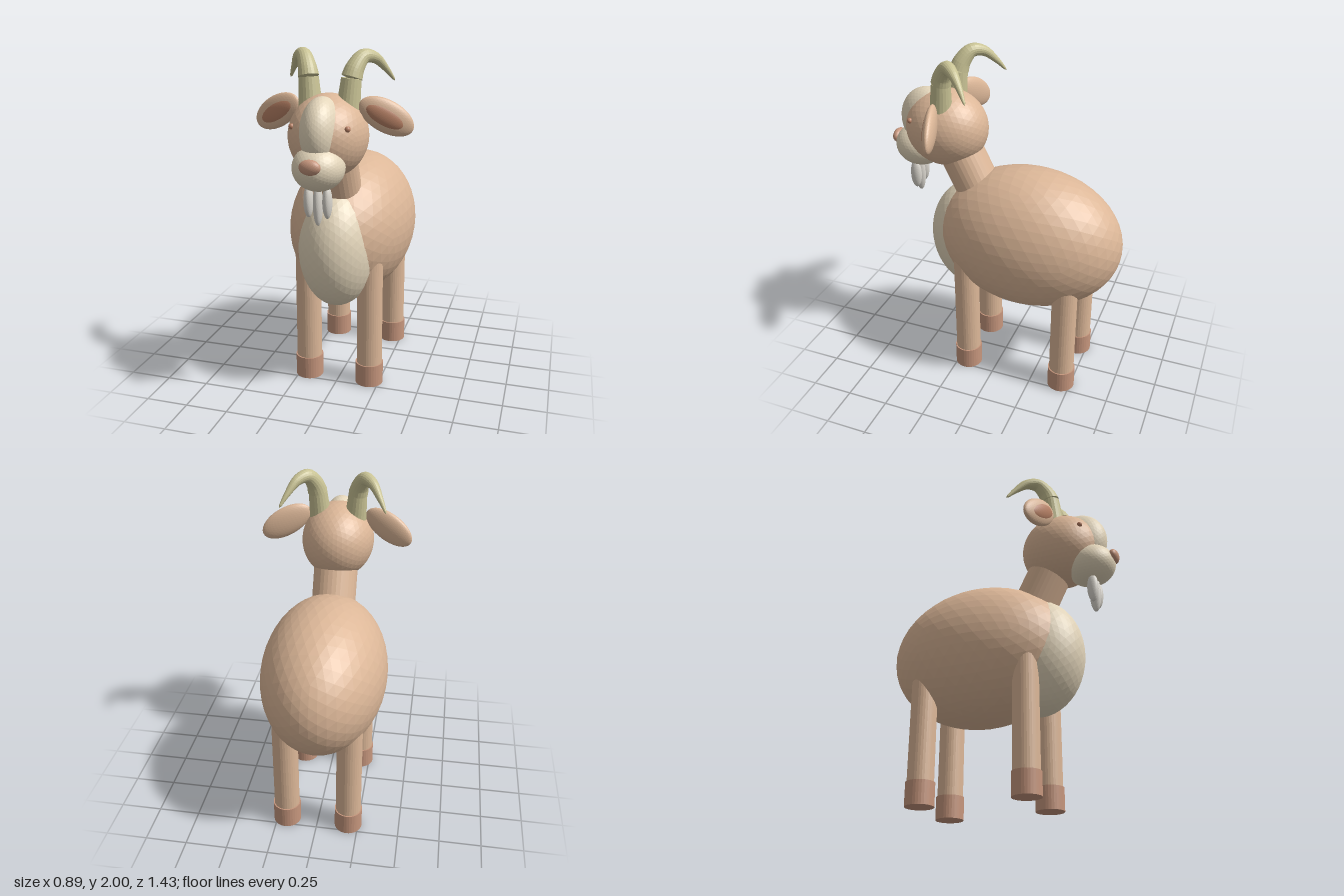
import * as THREE from 'three';

const paint = (color) => new THREE.MeshStandardMaterial({ color, flatShading: true });
const COAT = paint(0xdcb798), CREAM = paint(0xe4d6bb), HOOF = paint(0xc6967d), PINK = paint(0xb98266);
const HORN = paint(0xc8c294), HAIR = paint(0xd9d5cd);

const add = (parent, name, geometry, material) => {
  const mesh = new THREE.Mesh(geometry, material);
  mesh.name = name;
  parent.add(mesh);
  return mesh;
};

// Faceted ellipsoid with the given centre and radii
const ball = (parent, name, material, centre, radii, detail = 7) => {
  const mesh = add(parent, name, new THREE.IcosahedronGeometry(1, detail), material);
  mesh.position.set(...centre);
  mesh.scale.set(...radii);
  return mesh;
};

// Cylinder running from point a to point b
const rod = (parent, name, material, a, b, rA, rB, sides = 32) => {
  const from = new THREE.Vector3(...a), to = new THREE.Vector3(...b);
  const axis = to.clone().sub(from);
  const mesh = add(parent, name, new THREE.CylinderGeometry(rB, rA, axis.length(), sides), material);
  mesh.position.copy(from).add(to).multiplyScalar(0.5);
  mesh.quaternion.setFromUnitVectors(new THREE.Vector3(0, 1, 0), axis.normalize());
  return mesh;
};

// Tube whose radius follows radiusAt(t)
const taperedTube = (points, radiusAt, rings, sides) => {
  const curve = new THREE.CatmullRomCurve3(points.map((p) => new THREE.Vector3(...p)));
  const geometry = new THREE.TubeGeometry(curve, rings, 1, sides);
  const pos = geometry.attributes.position, v = new THREE.Vector3();
  for (let i = 0; i <= rings; i++) {
    const centre = curve.getPointAt(i / rings);
    for (let j = 0; j <= sides; j++) {
      const k = i * (sides + 1) + j;
      v.fromBufferAttribute(pos, k).sub(centre).multiplyScalar(radiusAt(i / rings)).add(centre);
      pos.setXYZ(k, v.x, v.y, v.z);
    }
  }
  geometry.computeVertexNormals();
  return geometry;
};

export function createModel() {
  const goat = new THREE.Group();
  goat.name = 'goat';

  // Trunk
  ball(goat, 'body', COAT, [0, 0.915, -0.15], [0.37, 0.435, 0.565]);
  ball(goat, 'chest', CREAM, [0, 0.86, 0.19], [0.227, 0.36, 0.285]);
  rod(goat, 'neck', COAT, [0, 1.15, 0.155], [0, 1.5, 0.33], 0.132, 0.132);

  // Head
  const head = new THREE.Group();
  head.name = 'head';
  goat.add(head);
  ball(head, 'skull', COAT, [0, 1.545, 0.365], [0.216, 0.227, 0.245]);
  ball(head, 'blaze', CREAM, [0, 1.58, 0.48], [0.113, 0.19, 0.17]);
  ball(head, 'muzzle', CREAM, [0, 1.41, 0.54], [0.14, 0.125, 0.152]);
  ball(head, 'nose', HOOF, [0, 1.442, 0.685], [0.058, 0.041, 0.031], 5);

  // Beard: three hanging tufts
  for (const [x, y, length] of [[-0.052, 1.23, 0.09], [0, 1.215, 0.118], [0.052, 1.23, 0.09]]) {
    ball(head, 'beardTuft', HAIR, [x, y, 0.56], [0.026, length, 0.034], 5);
  }

  for (const side of [-1, 1]) {
    const label = side > 0 ? 'left' : 'right';
    ball(head, label + 'Eye', PINK, [side * 0.152, 1.615, 0.525], [0.016, 0.016, 0.016], 3);

    // Ear: drooping outwards and swept back
    const ear = new THREE.Group();
    ear.name = label + 'Ear';
    ear.position.set(side * 0.306, 1.655, 0.322);
    ear.rotation.set(0, side * 0.28, -side * 0.5, 'YXZ');
    head.add(ear);
    ball(ear, 'outerEar', COAT, [0, 0, 0], [0.16, 0.086, 0.036]);
    ball(ear, 'innerEar', PINK, [-side * 0.005, -0.003, 0.014], [0.122, 0.056, 0.027]);

    // Horn: straight root with a curved, tapering tip
    const horn = new THREE.Group();
    horn.name = label + 'Horn';
    head.add(horn);
    rod(horn, 'hornRoot', HORN, [side * 0.102, 1.66, 0.352], [side * 0.118, 1.85, 0.337], 0.066, 0.054, 20);
    const path = [
      [0.117, 1.84, 0.338], [0.132, 1.9, 0.318], [0.166, 1.957, 0.273],
      [0.215, 1.947, 0.218], [0.262, 1.886, 0.16], [0.302, 1.818, 0.114],
    ].map(([x, y, z]) => [side * x, y, z]);
    const radius = (t) => (t === 0 || t === 1 ? 0.001 : 0.006 + 0.053 * (1 - t));
    add(horn, 'hornTip', taperedTube(path, radius, 28, 20), HORN);
  }

  // Legs with hooves
  for (const [place, z] of [['front', 0.185], ['rear', -0.44]]) {
    for (const x of [-0.19, 0.19]) {
      const leg = new THREE.Group();
      leg.name = place + (x > 0 ? 'LeftLeg' : 'RightLeg');
      goat.add(leg);
      rod(leg, 'shank', COAT, [x, 0.1, z], [x, 0.82, z], 0.076, 0.075);
      rod(leg, 'hoof', HOOF, [x, 0, z], [x, 0.135, z], 0.083, 0.083);
    }
  }
  return goat;
}
